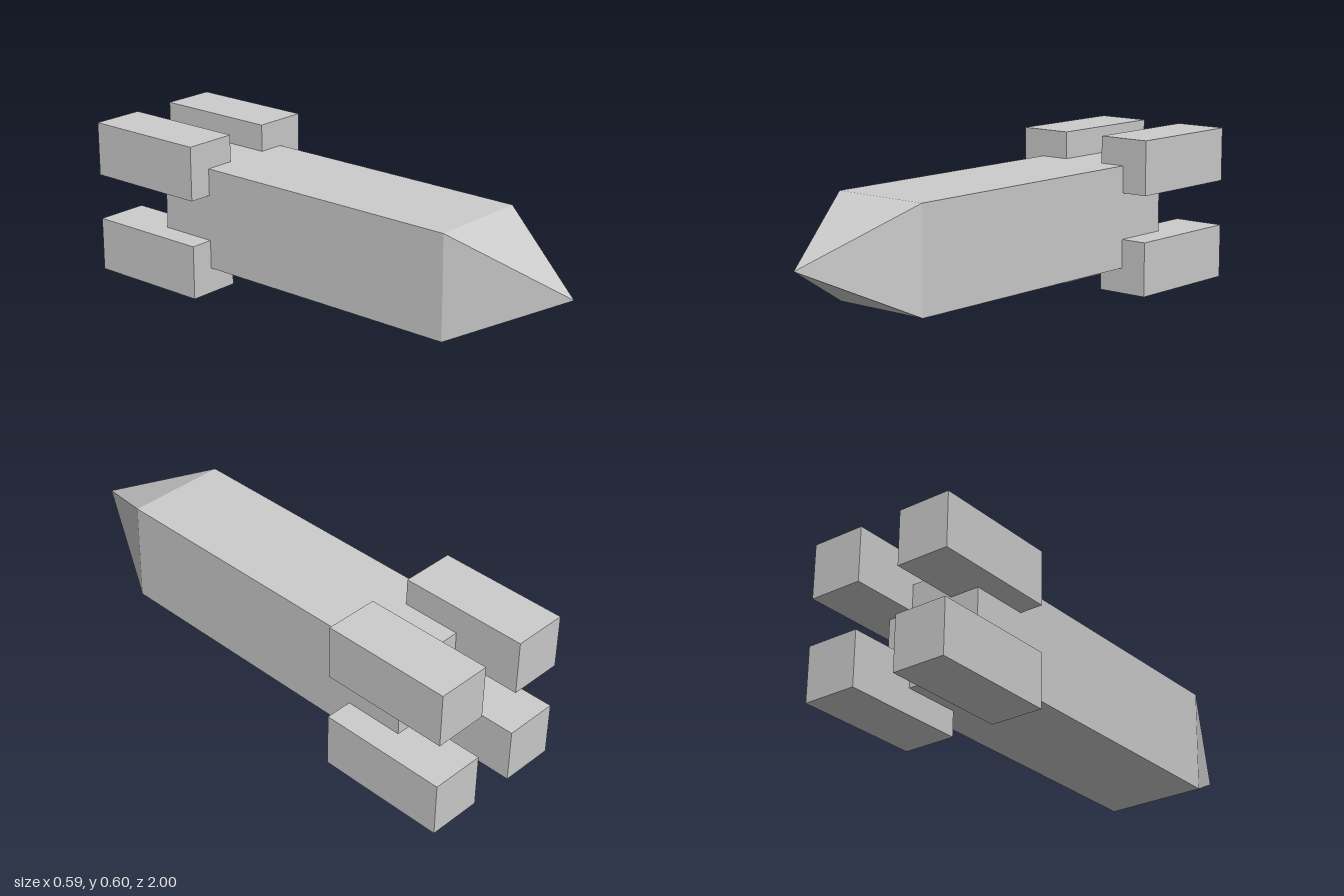
import * as THREE from 'three';

export function createModel() {
  const group = new THREE.Group();
  const material = new THREE.MeshStandardMaterial({ color: 0xcccccc, flatShading: true });

  const add = (name, geometry, x, y, z) => {
    const mesh = new THREE.Mesh(geometry, material);
    mesh.name = name;
    mesh.position.set(x, y, z);
    group.add(mesh);
  };

  const width = 0.394, axisX = -0.007, axisY = 0.295;
  const bodyBack = -0.73, bodyFront = 0.6, tip = 1;

  // Square fuselage
  const bodyLength = bodyFront - bodyBack;
  add('body', new THREE.BoxGeometry(width, width, bodyLength),
    axisX, axisY, (bodyFront + bodyBack) / 2);

  // Four-sided pyramid nose pointing forward
  const noseLength = tip - bodyFront;
  const nose = new THREE.ConeGeometry(width / Math.SQRT2, noseLength, 4);
  nose.rotateY(Math.PI / 4).rotateX(Math.PI / 2);
  add('nose', nose, axisX, axisY, bodyFront + noseLength / 2);

  // Four box boosters around the tail
  const booster = new THREE.BoxGeometry(0.209, 0.209, 0.5);
  for (const [side, x] of [['left', 0.191], ['right', -0.191]]) {
    for (const [level, y] of [['Upper', 0.492], ['Lower', 0.1045]]) {
      add(`${side}${level}Booster`, booster, x, y, -0.75);
    }
  }

  return group;
}
